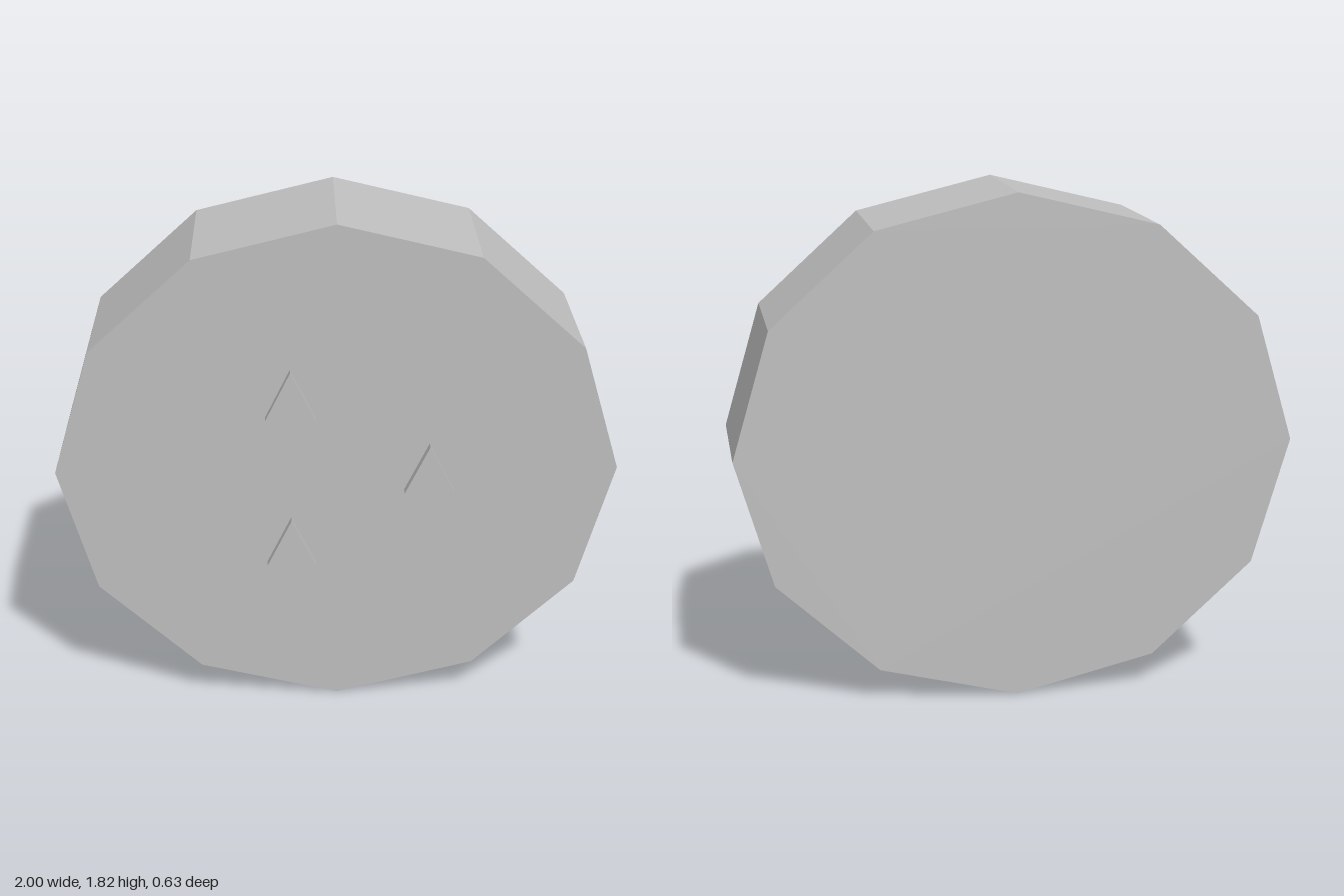
import * as THREE from 'three';

const grey = new THREE.MeshStandardMaterial({ color: 0xbfbfbf });
grey.name = 'plainGrey';

// Closed polygon prism running from z = back to z = front
function prism(name, points, back, front) {
  const shape = new THREE.Shape(points.map(([x, y]) => new THREE.Vector2(x, y)));
  const geometry = new THREE.ExtrudeGeometry(shape, { depth: front - back, bevelEnabled: false });
  geometry.translate(0, 0, back);
  const mesh = new THREE.Mesh(geometry, grey);
  mesh.name = name;
  return mesh;
}

export function createModel() {
  const group = new THREE.Group();
  group.name = 'drumWithMarkers';

  // Twelve-sided drum, slightly wider than tall
  const centreY = 0.91;
  const rim = [];
  for (let i = 0; i < 12; i++) {
    const a = (i * Math.PI) / 6;
    rim.push([Math.cos(a), centreY + 0.91 * Math.sin(a)]);
  }
  group.add(prism('drum', rim, -0.317, 0.264));

  // Three triangular markers floating just in front of the face
  const half = 0.0885;
  const triangle = [[-half, -0.07], [half, -0.07], [0, 0.108]];
  for (let i = 0; i < 3; i++) {
    const a = (i * Math.PI * 2) / 3;
    const marker = prism('marker' + (i + 1), triangle, 0.28, 0.317);
    marker.position.set(0.328 * Math.cos(a), centreY + 0.328 * Math.sin(a), 0);
    group.add(marker);
  }
  return group;
}
